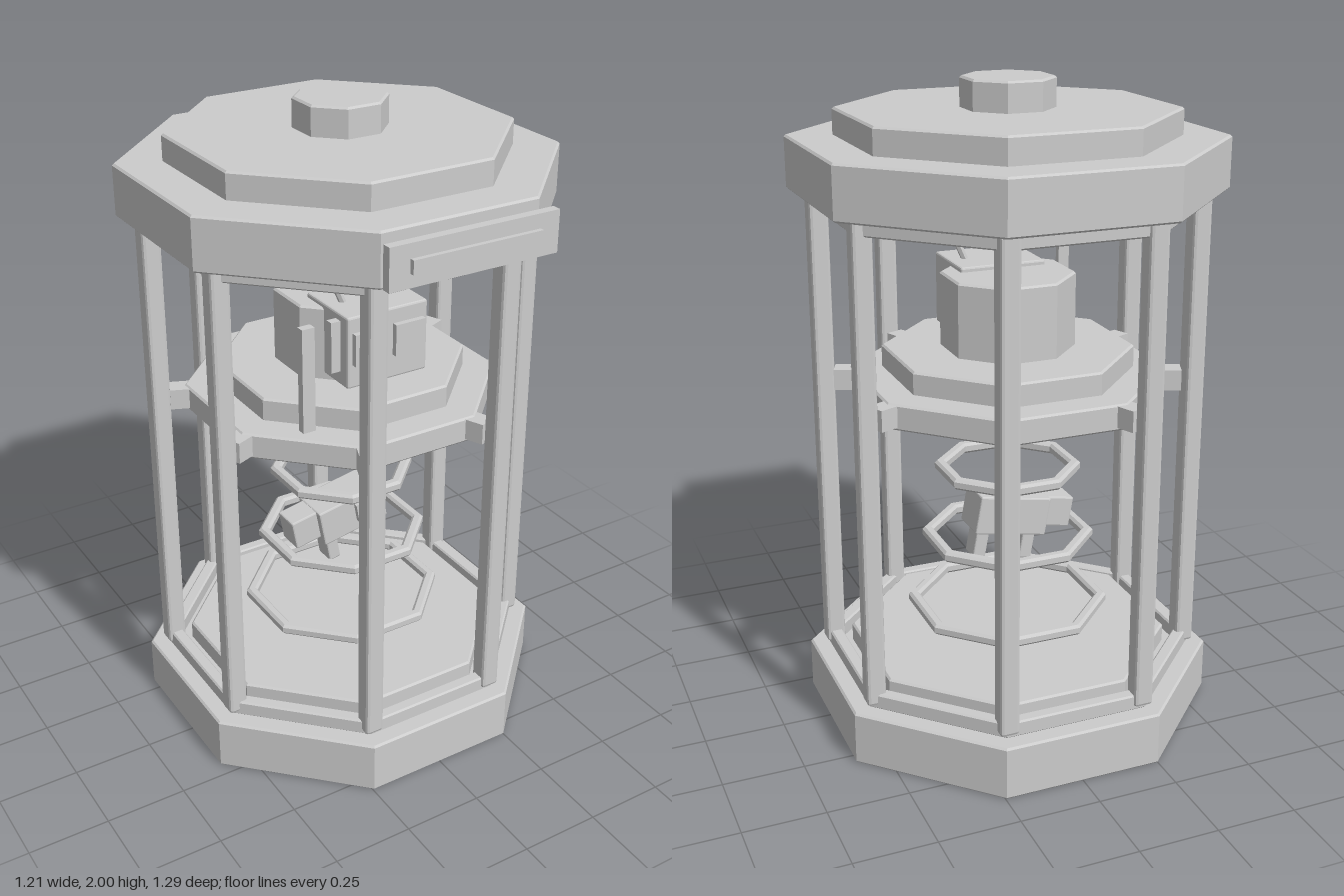
import * as THREE from 'three';
import { RoundedBoxGeometry } from 'three/addons/geometries/RoundedBoxGeometry.js';

const CZ = -0.042;                 // axis of the octagonal cage
const EIGHTH = Math.PI / 4;
const COS = Math.cos(EIGHTH / 2);

export function createModel() {
  const root = new THREE.Group();
  root.name = 'octagonalDisplayCase';
  const grey = new THREE.MeshStandardMaterial({ color: 0xcccccc });
  grey.name = 'plain grey';

  // Facet a geometry and add it as a named mesh
  const add = (parent, name, geometry, x = 0, y = 0, z = 0) => {
    const g = geometry.index ? geometry.toNonIndexed() : geometry;
    g.computeVertexNormals();
    const mesh = new THREE.Mesh(g, grey);
    mesh.name = name;
    mesh.position.set(x, y, z);
    parent.add(mesh);
    return mesh;
  };
  const group = (parent, name) => {
    const g = new THREE.Group();
    g.name = name;
    parent.add(g);
    return g;
  };
  const box = (w, h, d, bevel = 0) =>
    bevel ? new RoundedBoxGeometry(w, h, d, 1, bevel) : new THREE.BoxGeometry(w, h, d);

  // Eight-sided turned shape with flats facing the axes; profile radii are to the flats
  const octagon = (parent, name, profile) => {
    const pts = profile.map(([r, y]) => new THREE.Vector2(r / COS, y));
    return add(parent, name, new THREE.LatheGeometry(pts, 8, EIGHTH / 2), 0, 0, CZ);
  };
  const slab = (parent, name, r, y0, y1, b = 0.006) => octagon(parent, name,
    [[0, y0], [r - b, y0], [r, y0 + b], [r, y1 - b], [r - b, y1], [0, y1]]);
  const ring = (parent, name, r, y, w, h, b) => {
    const p = [[-w, -h + b], [-w + b, -h], [w - b, -h], [w, -h + b],
      [w, h - b], [w - b, h], [-w + b, h], [-w, h - b], [-w, -h + b]];
    return octagon(parent, name, p.map(([a, c]) => [r + a, y + c]));
  };

  // Base and floor
  const base = group(root, 'base');
  slab(base, 'basePlinth', 0.598, 0, 0.17);
  slab(base, 'floorPlate', 0.47, 0.16, 0.23);
  ring(base, 'lowerFrame', 0.525, 0.193, 0.02, 0.025, 0.005);

  // Canopy
  const canopy = group(root, 'canopy');
  slab(canopy, 'canopyRoof', 0.605, 1.67, 1.83);
  slab(canopy, 'canopyTier', 0.473, 1.82, 1.91);
  slab(canopy, 'canopyCap', 0.13, 1.9, 2.0);
  ring(canopy, 'upperFrame', 0.525, 1.648, 0.02, 0.025, 0.005);

  // Posts at the corners, with brackets holding the platform
  const cage = group(root, 'cage');
  for (let i = 0; i < 8; i++) {
    const a = EIGHTH * (i + 0.5), s = Math.sin(a), c = Math.cos(a);
    add(cage, 'post', box(0.06, 1.49, 0.06, 0.01), 0.568 * s, 0.925, CZ + 0.568 * c);
    add(cage, 'bracket', box(0.06, 0.065, 0.09), 0.488 * s, 1.083, CZ + 0.488 * c)
      .rotation.y = a;
  }

  // Raised platform
  const platform = group(root, 'platform');
  slab(platform, 'platformUnderside', 0.22, 0.965, 1.045);
  slab(platform, 'platformDeck', 0.45, 1.04, 1.12);
  slab(platform, 'platformStep', 0.357, 1.11, 1.19);
  slab(platform, 'platformDrum', 0.19, 1.18, 1.42);

  // Hanging rings, wider toward the floor
  [[0.195, 0.79], [0.235, 0.56], [0.279, 0.327]].forEach(([r, y]) =>
    ring(root, 'ring', r, y, 0.017, 0.017, 0.008));

  // Head with eyes and antennae
  const head = group(root, 'head');
  add(head, 'headBlock', box(0.275, 0.225, 0.23, 0.006), 0, 1.322, 0.105);
  for (const side of [-1, 1]) {
    add(head, 'eye', box(0.103, 0.1, 0.02), side * 0.069, 1.335, 0.228);
    const from = new THREE.Vector3(side * 0.078, 1.42, 0.103);
    const to = new THREE.Vector3(side * 0.143, 1.57, 0.103);
    const dir = to.clone().sub(from);
    const stalk = add(head, 'antennaStalk',
      new THREE.CylinderGeometry(0.011, 0.011, dir.length(), 6));
    stalk.position.copy(from).addScaledVector(dir, 0.5);
    stalk.quaternion.setFromUnitVectors(new THREE.Vector3(0, 1, 0), dir.normalize());
    add(head, 'antennaTip', box(0.054, 0.045, 0.054, 0.01), side * 0.144, 1.58, 0.103);
  }

  // Tilted little figure among the rings
  const figure = group(root, 'figure');
  figure.position.set(0.003, 0.638, -0.037);
  figure.rotation.z = 0.18;
  add(figure, 'figureBody', box(0.24, 0.125, 0.134, 0.005));
  add(figure, 'figureHead', box(0.1, 0.1, 0.09, 0.005), -0.16, 0.01, 0);
  add(figure, 'figurePanel', box(0.075, 0.065, 0.018), 0.045, 0.008, 0.074);
  for (const x of [-0.08, 0.08])
    add(figure, 'figureLeg', box(0.042, 0.1, 0.07, 0.005), x, -0.106, 0);

  // Front sign
  const sign = group(root, 'sign');
  add(sign, 'signBoard', box(0.535, 0.122, 0.028), -0.003, 1.753, 0.619);
  add(sign, 'signStrip', box(0.41, 0.04, 0.015), -0.002, 1.752, 0.64);

  // Glass glints
  add(root, 'longGlint', box(0.038, 0.303, 0.024), -0.408, 1.412, 0.454);
  add(root, 'shortGlint', box(0.028, 0.146, 0.024), -0.325, 1.49, 0.454);

  return root;
}
